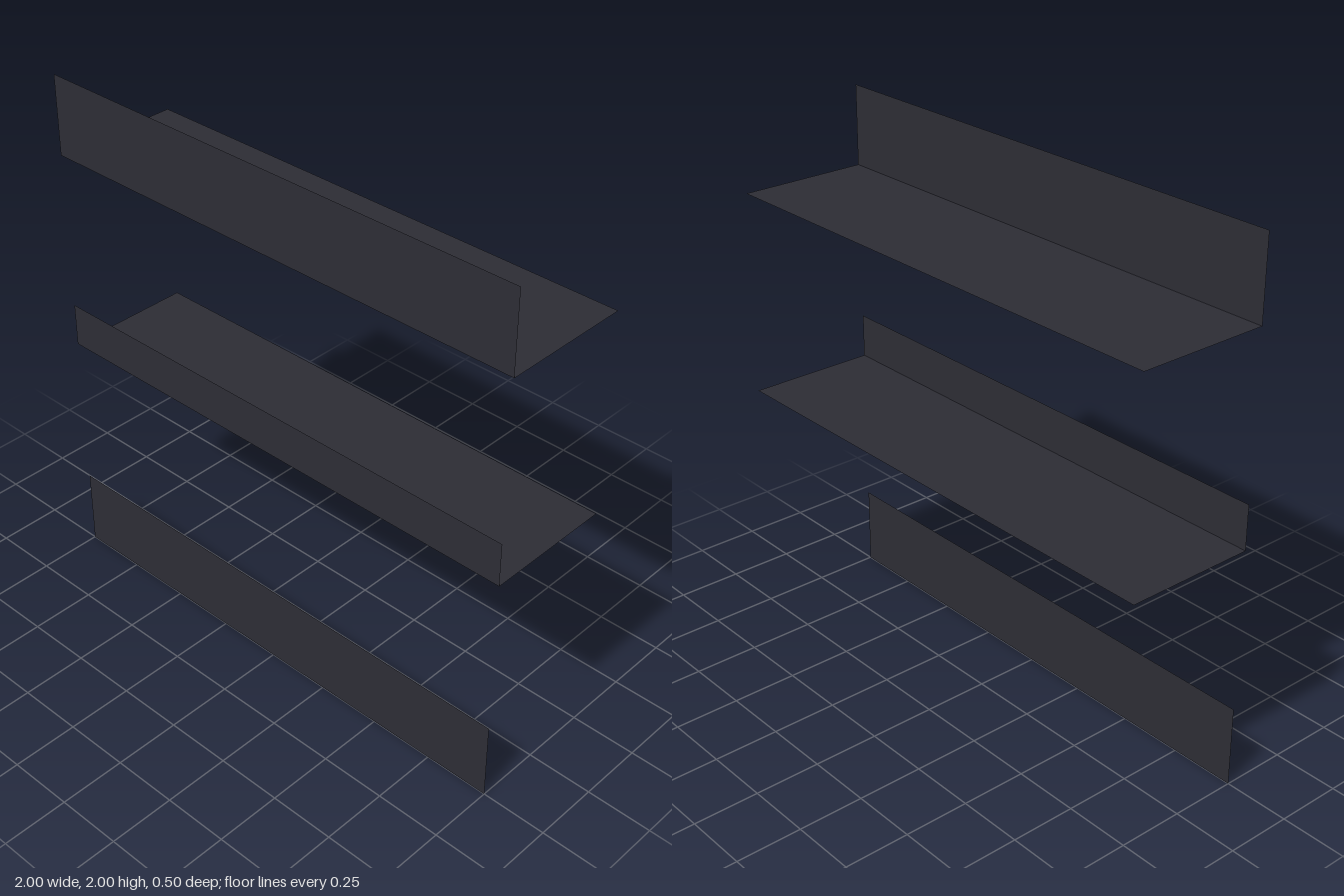
import * as THREE from 'three';

const LENGTH = 2, DEPTH = 0.5;

export function createModel() {
  const model = new THREE.Group();
  model.name = 'shelfPanels';

  const charcoal = new THREE.MeshStandardMaterial({ color: 0x2d2d35, side: THREE.DoubleSide });
  charcoal.name = 'charcoal';

  // Upright sheet along the front edge
  function addFascia(name, bottom, top) {
    const mesh = new THREE.Mesh(new THREE.PlaneGeometry(LENGTH, top - bottom), charcoal);
    mesh.name = name;
    mesh.position.set(0, (bottom + top) / 2, DEPTH / 2);
    model.add(mesh);
  }

  // Level sheet running back from the foot of a fascia
  function addShelf(name, y) {
    const geometry = new THREE.PlaneGeometry(LENGTH, DEPTH).rotateX(-Math.PI / 2);
    const mesh = new THREE.Mesh(geometry, charcoal);
    mesh.name = name;
    mesh.position.y = y;
    model.add(mesh);
  }

  addFascia('bottomFascia', 0, 0.305);
  addFascia('middleFascia', 0.917, 1.085);
  addShelf('middleShelf', 0.917);
  addFascia('topFascia', 1.695, 2);
  addShelf('topShelf', 1.695);

  return model;
}
